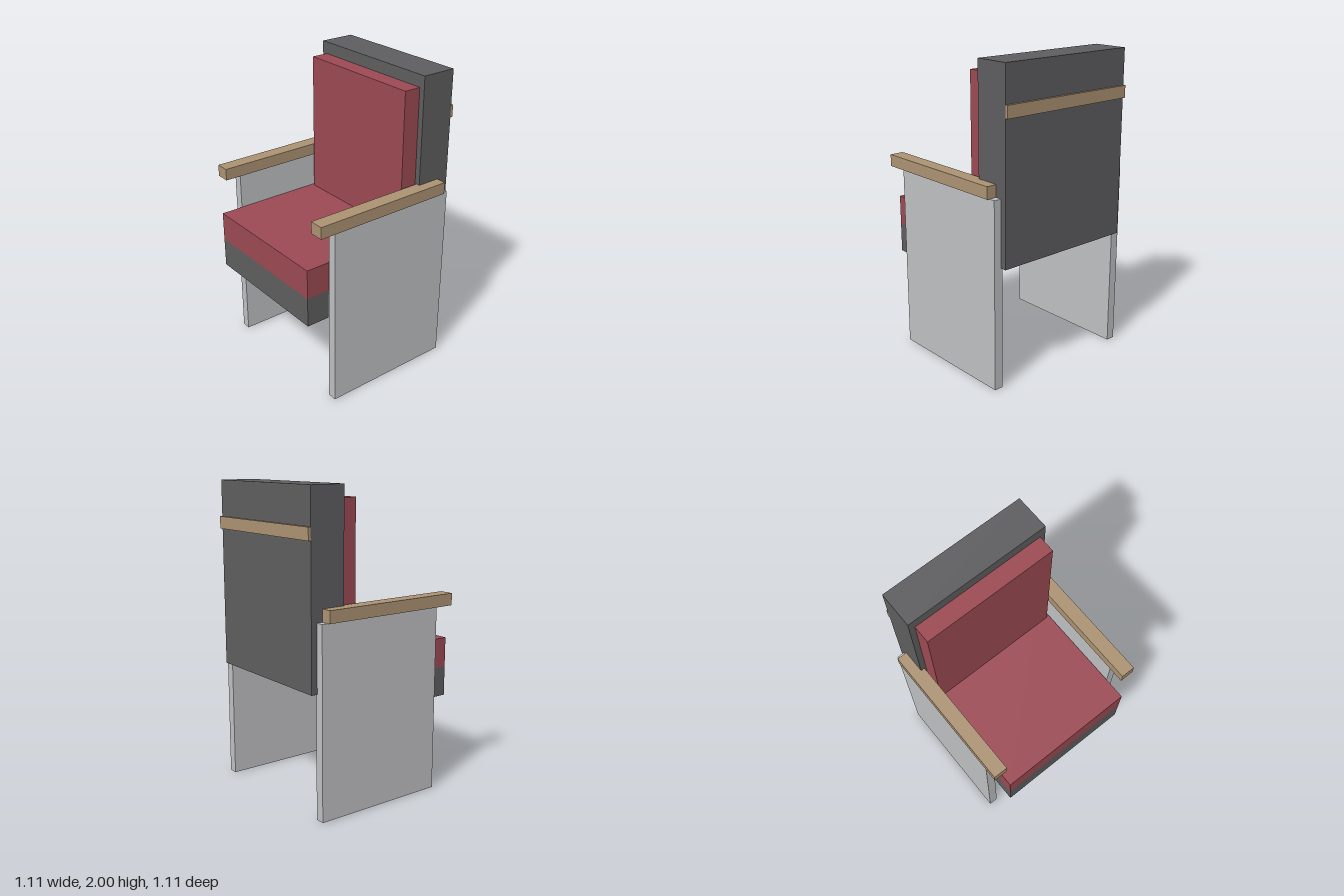
import * as THREE from 'three';

const material = (name, color) => {
  const m = new THREE.MeshStandardMaterial({ color });
  m.name = name;
  return m;
};

export function createModel() {
  const red = material('red upholstery', 0x9c4a53);
  const charcoal = material('charcoal upholstery', 0x5e5e60);
  const wood = material('tan wood', 0xac9273);
  const grey = material('light grey panel', 0xbfc0c2);

  const chair = new THREE.Group();
  chair.name = 'armchair';

  // Box given by its extents on each axis
  const box = (name, mat, [x0, x1], [y0, y1], [z0, z1]) => {
    const mesh = new THREE.Mesh(new THREE.BoxGeometry(x1 - x0, y1 - y0, z1 - z0), mat);
    mesh.position.set((x0 + x1) / 2, (y0 + y1) / 2, (z0 + z1) / 2);
    mesh.name = name;
    chair.add(mesh);
  };

  // Seat cushion and the apron under its front edge
  box('seatCushion', red, [-0.47, 0.47], [0.79, 0.985], [-0.303, 0.557]);
  box('frontApron', charcoal, [-0.47, 0.47], [0.594, 0.79], [0.4, 0.557]);

  // Backrest, its cushion and the rear rail
  box('backrest', charcoal, [-0.488, 0.488], [0.79, 2], [-0.54, -0.303]);
  box('backCushion', red, [-0.45, 0.45], [0.985, 1.921], [-0.303, -0.188]);
  box('rearRail', wood, [-0.488, 0.488], [1.69, 1.768], [-0.557, -0.54]);

  // Side panels and armrests, mirrored
  for (const [side, s] of [['left', 1], ['right', -1]]) {
    const span = (a, b) => (s > 0 ? [a, b] : [-b, -a]);
    box(side + 'SidePanel', grey, span(0.478, 0.538), [0, 1.217], [-0.5, 0.402]);
    box(side + 'Armrest', wood, span(0.462, 0.556), [1.217, 1.295], [-0.459, 0.517]);
  }
  return chair;
}
